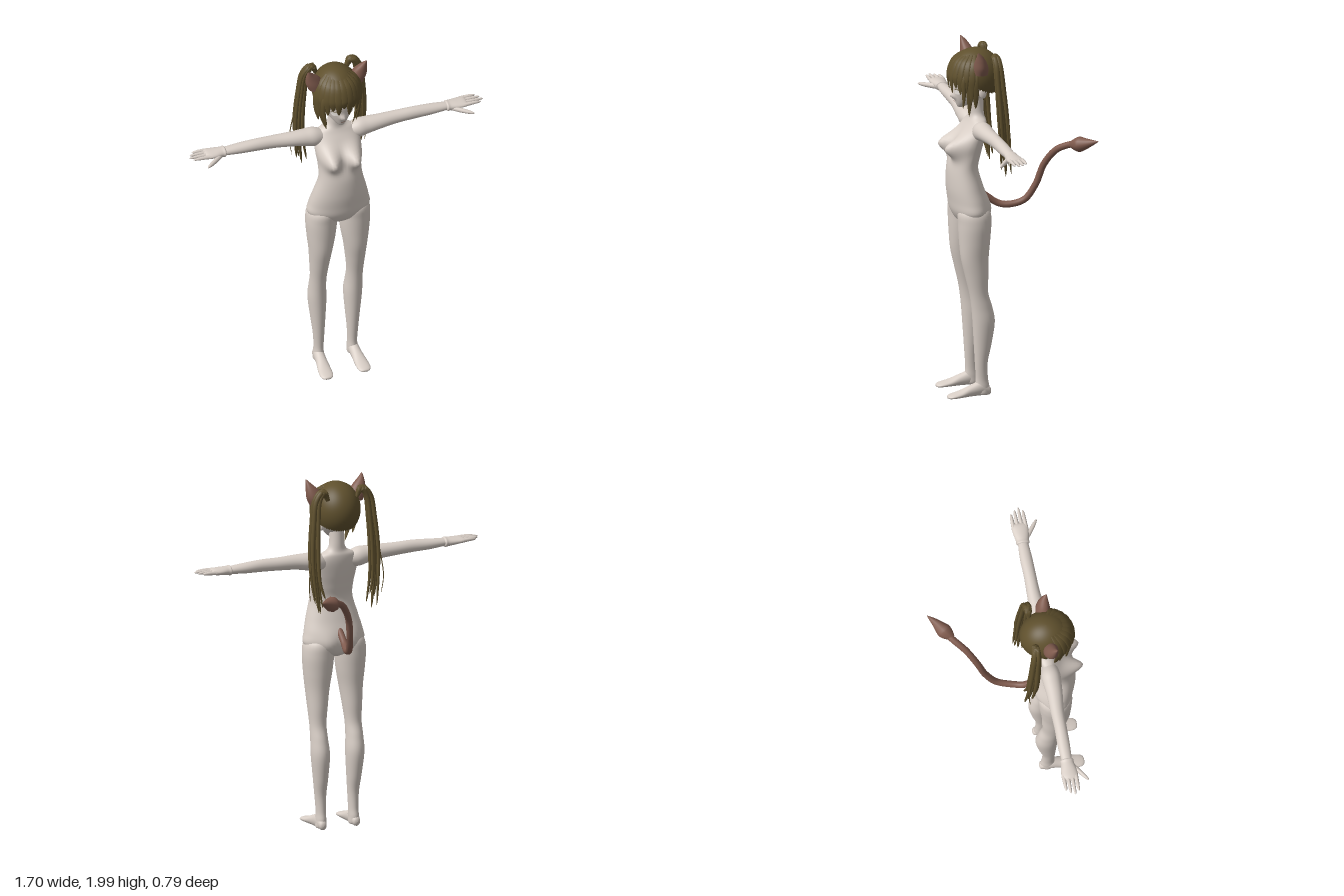
import * as THREE from 'three';

const V = (x, y, z) => new THREE.Vector3(x, y, z);
const mat = (name, color) => Object.assign(new THREE.MeshStandardMaterial({ color }), { name });

// Skin over closed rings: rings[i] is an array of Vector3
function skinRings(rings) {
  const n = rings[0].length, pos = [], idx = [];
  rings.forEach(r => r.forEach(p => pos.push(p.x, p.y, p.z)));
  for (let i = 0; i < rings.length - 1; i++)
    for (let j = 0; j < n; j++) {
      const a = i * n + j, b = i * n + (j + 1) % n;
      idx.push(a, b, a + n, b, b + n, a + n);
    }
  const g = new THREE.BufferGeometry();
  g.setAttribute('position', new THREE.Float32BufferAttribute(pos, 3));
  g.setIndex(idx);
  g.computeVertexNormals();
  return g;
}

// Smooth elliptical loft along an axis; station = [along, centre1, centre2, radius1, radius2]
function loft(axis, stations, seg = 28, warp = null) {
  const st = [...stations].sort((a, b) => a[0] - b[0]);
  const [u, v] = { x: ['y', 'z'], y: ['z', 'x'], z: ['x', 'y'] }[axis];
  const swap = axis === 'y';
  const rings = [], sub = 6, last = st.length - 1;
  for (let k = 0; k <= last * sub; k++) {
    const i = Math.min(Math.floor(k / sub), last - 1), t = k / sub - i;
    const at = c => {
      const [p0, p1, p2, p3] = [i - 1, i, i + 1, i + 2].map(q => st[Math.max(0, Math.min(last, q))][c]);
      return p1 + 0.5 * t * (p2 - p0 + t * (2 * p0 - 5 * p1 + 4 * p2 - p3 + t * (3 * (p1 - p2) + p3 - p0)));
    };
    const c = [at(1), at(2)], r = [Math.max(0.0008, at(3)), Math.max(0.0008, at(4))];
    if (swap) { c.reverse(); r.reverse(); }
    const ring = [];
    for (let j = 0; j < seg; j++) {
      const a = j / seg * Math.PI * 2, p = V(0, 0, 0);
      p[axis] = at(0);
      p[u] = c[0] + r[0] * Math.cos(a);
      p[v] = c[1] + r[1] * Math.sin(a);
      if (warp) warp(p, swap ? Math.cos(a) : 0);
      ring.push(p);
    }
    rings.push(ring);
  }
  return skinRings(rings);
}

// Tapered lock along a curve, flat side facing away from the centre line of the head
const leaf = t => Math.pow(Math.sin(Math.PI * Math.min(1, 0.2 + 0.8 * t)), 0.6);
const long = t => Math.min(1, 0.55 + t * 3) * Math.pow(Math.max(0, 1 - t), 0.35);
function lock(points, w, th, profile = leaf, centre = V(0, 0, 0.19), steps = 18) {
  const curve = new THREE.CatmullRomCurve3(points), rings = [];
  for (let i = 0; i <= steps; i++) {
    const t = i / steps, c = curve.getPoint(t), T = curve.getTangent(t);
    const out = V(c.x - centre.x, 0.02, c.z - centre.z);
    out.addScaledVector(T, -out.dot(T)).normalize();
    const side = T.clone().cross(out), k = Math.max(0.02, profile(t));
    rings.push(Array.from({ length: 10 }, (_, j) => {
      const a = j / 10 * Math.PI * 2;
      return c.clone().addScaledVector(out, Math.cos(a) * th * k).addScaledVector(side, Math.sin(a) * w * k);
    }));
  }
  return skinRings(rings);
}

const bell = (d, s) => Math.exp(-(d * d) / (s * s));

export function createModel() {
  const model = new THREE.Group();
  const skin = mat('skin', 0xd8cec6), hair = mat('hair', 0x5f502d), fur = mat('fur', 0x805b4e);
  const eyeWhite = mat('eyeWhite', 0xe6e0da);
  const add = (name, geo, m, parent = model) => {
    const mesh = new THREE.Mesh(geo, m);
    mesh.name = name;
    parent.add(mesh);
    return mesh;
  };

  // Torso and neck
  add('torso', loft('y', [
    [0.985, 0, 0.235, 0.03, 0.05], [1.01, 0, 0.237, 0.12, 0.08], [1.06, 0, 0.243, 0.177, 0.1],
    [1.12, 0, 0.25, 0.17, 0.104], [1.2, 0, 0.267, 0.15, 0.097], [1.3, 0, 0.279, 0.124, 0.083],
    [1.38, 0, 0.262, 0.122, 0.08], [1.45, 0, 0.245, 0.13, 0.08], [1.52, 0, 0.216, 0.13, 0.064],
    [1.565, 0, 0.2, 0.105, 0.05], [1.595, 0, 0.198, 0.055, 0.041], [1.64, 0, 0.2, 0.041, 0.041],
    [1.73, 0, 0.205, 0.04, 0.042]], 48, (p, f) => {
    if (f > 0) p.z += 0.085 * Math.sqrt(f) * bell(Math.abs(p.x) - 0.072, 0.045) * bell(p.y - 1.43, 0.055);
    if (f < 0) p.z -= 0.018 * -f * bell(Math.abs(p.x) - 0.075, 0.06) * bell(p.y - 1.06, 0.07);
  }), skin);

  // Head
  add('head', loft('y', [
    [1.645, 0, 0.29, 0.001, 0.001], [1.65, 0, 0.285, 0.018, 0.022], [1.685, 0, 0.255, 0.052, 0.065],
    [1.74, 0, 0.224, 0.085, 0.106], [1.8, 0, 0.21, 0.105, 0.125], [1.87, 0, 0.2, 0.108, 0.125],
    [1.93, 0, 0.2, 0.075, 0.09], [1.955, 0, 0.2, 0.001, 0.001]], 40, (p, f) => {
    if (f > 0) p.z += 0.024 * bell(p.x, 0.014) * bell(p.y - 1.712, 0.016);
  }), skin);

  // Thin face plates that follow the curve of the face
  const facePlate = (name, x, y, w, h, m, lift) => {
    const g = new THREE.CircleGeometry(1, 20).scale(w, h, 1).translate(x, y, 0), p = g.attributes.position;
    for (let i = 0; i < p.count; i++)
      p.setZ(i, 0.225 + 0.106 * Math.sqrt(Math.max(0, 1 - (p.getX(i) / 0.092) ** 2)) + lift);
    g.computeVertexNormals();
    add(name, g, m);
  };
  facePlate('mouth', 0, 1.682, 0.012, 0.0018, fur, -0.006);

  for (const s of [1, -1]) {
    const sd = s > 0 ? 'left' : 'right';
    const flip = list => list.map(([a, b, ...r]) => [a, b * s, ...r]);
    const path = list => list.map(([x, y, z]) => V(x * s, y, z));

    facePlate(sd + 'Eye', s * 0.045, 1.745, 0.019, 0.013, eyeWhite, 0.005);
    facePlate(sd + 'Lash', s * 0.046, 1.759, 0.022, 0.002, hair, 0.007);
    add(sd + 'SideEar', new THREE.SphereGeometry(1, 16, 12).scale(0.012, 0.034, 0.022)
      .translate(s * 0.097, 1.745, 0.19), skin);

    // Leg and foot
    add(sd + 'Leg', loft('y', flip([
      [0.012, 0.099, 0.192, 0.001, 0.001], [0.02, 0.099, 0.192, 0.028, 0.032], [0.06, 0.098, 0.195, 0.029, 0.04],
      [0.11, 0.097, 0.197, 0.027, 0.034], [0.2, 0.098, 0.2, 0.032, 0.036], [0.3, 0.1, 0.193, 0.041, 0.049],
      [0.43, 0.103, 0.188, 0.051, 0.062], [0.52, 0.105, 0.2, 0.047, 0.058], [0.6, 0.105, 0.217, 0.046, 0.053],
      [0.7, 0.103, 0.228, 0.055, 0.065], [0.8, 0.1, 0.238, 0.066, 0.077], [0.9, 0.097, 0.238, 0.08, 0.086],
      [1.0, 0.095, 0.237, 0.088, 0.092], [1.07, 0.09, 0.24, 0.08, 0.088], [1.12, 0.085, 0.245, 0.03, 0.04]])), skin);
    add(sd + 'Foot', loft('z', flip([
      [0.145, 0.1, 0.034, 0.001, 0.001], [0.155, 0.1, 0.034, 0.02, 0.024], [0.2, 0.1, 0.05, 0.029, 0.041],
      [0.26, 0.102, 0.041, 0.031, 0.032], [0.32, 0.106, 0.028, 0.037, 0.02], [0.37, 0.108, 0.021, 0.036, 0.013],
      [0.392, 0.108, 0.018, 0.022, 0.008], [0.396, 0.108, 0.017, 0.001, 0.001]])), skin);

    // Arm and palm
    const along = list => list.map(([x, ...r]) => [x * s, ...r]);
    add(sd + 'Arm', loft('x', along([
      [0.05, 1.525, 0.205, 0.03, 0.03], [0.12, 1.533, 0.205, 0.053, 0.052], [0.18, 1.54, 0.205, 0.048, 0.05],
      [0.25, 1.546, 0.205, 0.041, 0.044], [0.35, 1.55, 0.2, 0.036, 0.037], [0.45, 1.553, 0.2, 0.034, 0.034],
      [0.55, 1.552, 0.198, 0.029, 0.034], [0.63, 1.552, 0.198, 0.022, 0.029], [0.65, 1.552, 0.198, 0.018, 0.025]])), skin);
    add(sd + 'Hand', loft('x', along([
      [0.632, 1.552, 0.198, 0.001, 0.001], [0.64, 1.552, 0.198, 0.026, 0.035], [0.66, 1.552, 0.198, 0.025, 0.036],
      [0.7, 1.554, 0.198, 0.021, 0.043], [0.745, 1.556, 0.197, 0.015, 0.045], [0.765, 1.556, 0.197, 0.001, 0.03]])), skin);

    // Fingers and thumb
    const finger = t => Math.sqrt(Math.max(0, 1 - t ** 6)) * (1 - 0.3 * t);
    [[0.818, 0.163], [0.838, 0.186], [0.85, 0.209], [0.832, 0.231]].forEach(([x, z], i) =>
      add(sd + 'Finger' + (i + 1), lock(path([[0.73, 1.556, z], [0.78, 1.559, z], [x, 1.559, z]]),
        0.0115, 0.0115, finger, V(0, 0, -5)), skin));
    add(sd + 'Thumb', lock(path([[0.665, 1.545, 0.215], [0.71, 1.541, 0.252], [0.772, 1.537, 0.298]]),
      0.016, 0.015, finger, V(0, 0, -5)), skin);

    // Pointed animal ear
    add(sd + 'PointedEar', loft('y', flip([
      [1.86, 0.113, 0.208, 0.045, 0.04], [1.9, 0.124, 0.21, 0.05, 0.04], [1.94, 0.139, 0.216, 0.037, 0.03],
      [1.975, 0.156, 0.226, 0.016, 0.016], [2.0, 0.167, 0.238, 0.001, 0.001]])), fur);

    // Twin tail made of several long locks
    const bunch = new THREE.Group();
    bunch.name = sd + 'TwinTail';
    model.add(bunch);
    [[0, 0, 1.27, 0.026], [0.02, 0.014, 1.33, 0.02], [-0.018, 0.016, 1.3, 0.02], [0.018, -0.02, 1.29, 0.02],
      [-0.016, -0.018, 1.36, 0.02], [0.006, 0.026, 1.42, 0.016]].forEach(([dx, dz, end, w]) =>
      add('tailLock', lock(path([[0.085, 1.9, 0.125], [0.115 + dx * 0.4, 1.95, 0.125 + dz * 0.4],
        [0.15 + dx * 0.6, 1.91, 0.122 + dz * 0.6], [0.168 + dx * 0.8, 1.78, 0.113 + dz * 0.8],
        [0.178 + dx, 1.6, 0.1 + dz], [0.172 + dx, 1.45, 0.088 + dz], [0.152 + dx * 1.2, end, 0.076 + dz * 1.2]]),
      w * 0.85, w * 0.75, long, V(0, 0, 0.19), 32), hair, bunch));
    add('wisp', lock(path([[0.14, 1.93, 0.125], [0.185, 1.8, 0.11], [0.2, 1.62, 0.08], [0.222, 1.45, 0.07],
      [0.21, 1.34, 0.08]]), 0.005, 0.004, long), hair, bunch);

    // Locks framing the face
    [[0.098, 0.27, 1.61, 0.075, 0.262, 0.022], [0.115, 0.24, 1.66, 0.11, 0.235, 0.02],
      [0.09, 0.3, 1.66, 0.085, 0.3, 0.014]].forEach(([x, z, end, ex, ez, w]) =>
      add(sd + 'SideLock', lock(path([[x * 0.75, 1.92, z - 0.02], [x + 0.014, 1.83, z + 0.005],
        [x + 0.012, 1.74, z], [ex, end, ez]]), w, 0.007), hair));
  }

  // Hair cap: a dome cut high over the face and low at the nape
  const cap = new THREE.SphereGeometry(1, 48, 28), cp = cap.attributes.position, uv = cap.attributes.uv;
  for (let i = 0; i < cp.count; i++) {
    const a = uv.getX(i) * Math.PI * 2, front = Math.cos(a);
    const th = (1 - uv.getY(i)) * Math.PI * (0.64 - 0.16 * front - 0.05 * front * front);
    cp.setXYZ(i, 0.13 * Math.sin(th) * Math.sin(a), 1.825 + 0.15 * Math.cos(th), 0.205 + 0.147 * Math.sin(th) * front);
  }
  cap.computeVertexNormals();
  const hairCap = mat('hairCap', 0x5f502d);
  hairCap.side = THREE.DoubleSide;
  add('hairCap', cap, hairCap);

  // Fringe
  const tips = [1.7, 1.75, 1.735, 1.77, 1.745, 1.785, 1.735, 1.77, 1.74, 1.75, 1.7];
  tips.forEach((tip, i) => {
    const a = (i - 5) * 0.235, at = (r, y) => V(Math.sin(a) * r * 0.9, y, 0.205 + Math.cos(a) * r);
    add('fringeLock', lock([at(0.07, 1.95), at(0.125, 1.91), at(0.151, 1.84), at(0.149, (1.84 + tip) / 2),
      at(0.142, tip)], 0.023, 0.007), hair);
  });

  // Tail with a pointed tuft
  add('tail', new THREE.TubeGeometry(new THREE.CatmullRomCurve3([
    V(0, 1.15, 0.18), V(0, 1.11, 0.13), V(0.005, 1.075, 0.08), V(0.02, 1.065, 0.03), V(0.043, 1.09, -0.06),
    V(0.065, 1.18, -0.12), V(0.09, 1.3, -0.16), V(0.145, 1.395, -0.215), V(0.21, 1.44, -0.28),
    V(0.25, 1.452, -0.31)]), 64, 0.0185, 14), fur);
  add('tailTuft', lock([V(0.215, 1.44, -0.275), V(0.26, 1.452, -0.315), V(0.305, 1.468, -0.35), V(0.35, 1.488, -0.392)],
    0.043, 0.043, t => t < 0.35 ? 0.4 + 0.6 * Math.sin(t / 0.35 * Math.PI / 2) : Math.pow((1 - t) / 0.65, 0.85),
    V(5, 0, 5)), fur);
  return model;
}
